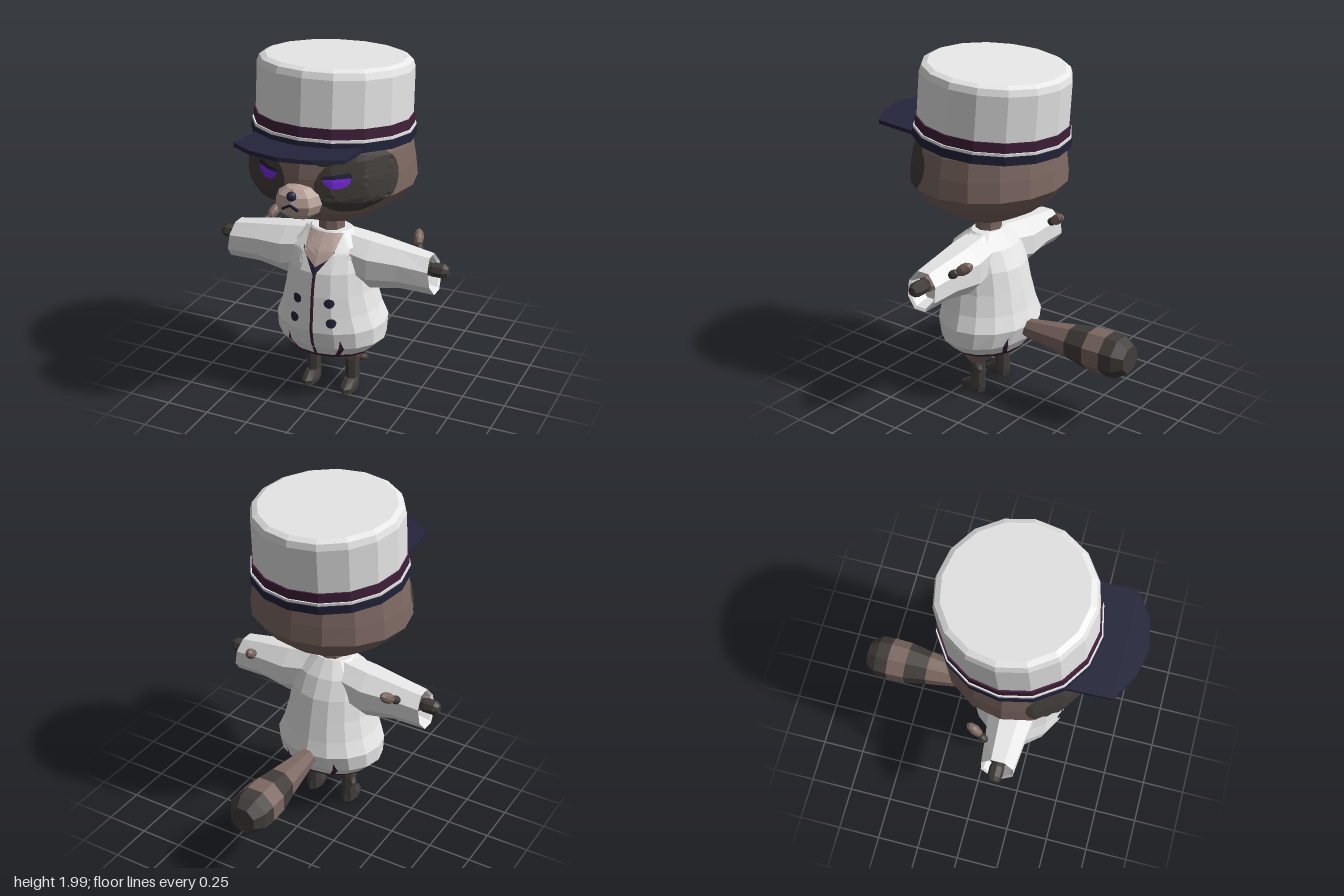
import * as THREE from 'three';

const color = (name, hex) => Object.assign(new THREE.MeshStandardMaterial({ color: hex }), { name });
const M = {
  white: color('cloth white', 0xececec), brown: color('fur brown', 0x7d6862),
  dark: color('fur dark', 0x423d3a), tan: color('fur light', 0xb9a39b),
  navy: color('navy', 0x24243c), maroon: color('maroon', 0x41203a), purple: color('eye purple', 0x7a2be6),
};

const faceted = (g) => {
  const n = g.index ? g.toNonIndexed() : g;
  n.computeVertexNormals();
  return n;
};

function fromTriangles(tris) {
  const g = new THREE.BufferGeometry().setFromPoints(tris);
  g.computeVertexNormals();
  return g;
}

// Skin over closed rings of points, optionally capped
function loft(rings, caps = true) {
  const out = [], n = rings[0].length;
  for (let i = 0; i + 1 < rings.length; i++) for (let j = 0; j < n; j++) {
    const k = (j + 1) % n, a = rings[i][j], b = rings[i][k], c = rings[i + 1][k], d = rings[i + 1][j];
    out.push(a, b, c, a, c, d);
  }
  if (caps) [rings[0], rings.at(-1)].forEach((r, top) => {
    const m = r.reduce((s, p) => s.add(p), new THREE.Vector3()).divideScalar(n);
    for (let j = 0; j < n; j++) {
      const k = (j + 1) % n;
      out.push(m, r[top ? j : k], r[top ? k : j]);
    }
  });
  return fromTriangles(out);
}

const ring = (n, f) => Array.from({ length: n }, (_, j) => f((j / n) * Math.PI * 2));

// Upright stack of elliptical rings: [y, radiusX, centreZ, radiusZ, centreX]
const stack = (rows, n, caps = true) => loft(rows.map(([y, r, cz = 0, rz = r, cx = 0]) =>
  ring(n, (t) => new THREE.Vector3(cx + r * Math.sin(t), y, cz + rz * Math.cos(t)))), caps);

// Patch from a rule f(u, v)
function patch(f, nu = 6, nv = 6) {
  const out = [];
  for (let i = 0; i < nu; i++) for (let j = 0; j < nv; j++) {
    const [a, b, c, d] = [[0, 0], [1, 0], [1, 1], [0, 1]].map(([p, q]) => f((i + p) / nu, (j + q) / nv));
    out.push(a, b, c, a, c, d);
  }
  return fromTriangles(out);
}

// Rounded form from rows [y, halfWidth, frontZ, backZ], with surface lookup for details
function shell(rows, n) {
  const row = (y) => {
    let i = 0;
    while (i < rows.length - 2 && y > rows[i + 1][0]) i++;
    const k = (y - rows[i][0]) / (rows[i + 1][0] - rows[i][0]);
    return rows[i].map((v, q) => v + (rows[i + 1][q] - v) * k);
  };
  const at = (t, y, lift = 0) => {
    const [, w, f, b] = row(y), step = (Math.PI * 2) / n, s = Math.floor(t / step), k = t / step - s;
    const mix = (fn) => fn(s * step) * (1 - k) + fn((s + 1) * step) * k;
    return new THREE.Vector3(w * mix(Math.sin) + lift * Math.sin(t), y,
      (f + b) / 2 + ((f - b) / 2) * mix(Math.cos) + lift * Math.cos(t));
  };
  const front = (x, y, lift) => at(Math.asin(Math.max(-1, Math.min(1, x / row(y)[1]))), y, lift);
  return {
    at, geometry: loft(rows.map(([y]) => ring(n, (t) => at(t + 1e-6, y)))),
    // Quad corners in x,y: bottom inner, bottom outer, top outer, top inner
    quad: ([a, b, c, d], lift, place = front) => patch((u, v) => {
      const m = (q) => (a[q] * (1 - u) + b[q] * u) * (1 - v) + (d[q] * (1 - u) + c[q] * u) * v;
      return place(m(0), m(1), lift);
    }),
    disc: (x, y, rx, ry, lift, top = 1, place = front) => patch((u, v) => {
      const t = -u * Math.PI * 2;
      return place(x + rx * v * Math.cos(t), y + ry * v * Math.min(top, Math.sin(t)), lift);
    }, 24, 6),
  };
}

function mirrored(g) {
  const m = g.clone().scale(-1, 1, 1), p = m.attributes.position;
  for (let i = 0; i < p.count; i += 3) {
    const b = new THREE.Vector3().fromBufferAttribute(p, i + 1), c = new THREE.Vector3().fromBufferAttribute(p, i + 2);
    p.setXYZ(i + 1, c.x, c.y, c.z);
    p.setXYZ(i + 2, b.x, b.y, b.z);
  }
  m.computeVertexNormals();
  return m;
}

export function createModel() {
  const model = new THREE.Group();
  const add = (name, g, mat, parent = model) => {
    const m = new THREE.Mesh(g, mat);
    m.name = name;
    parent.add(m);
    return m;
  };
  const pair = (name, g, mat) => {
    add(name + 'Left', g, mat);
    add(name + 'Right', mirrored(g), mat);
  };
  const blob = (x, y, z, rx, ry, rz, turn = [0, 0, 0]) => {
    const g = faceted(new THREE.SphereGeometry(1, 8, 6)).scale(rx, ry, rz);
    g.rotateX(turn[0]).rotateY(turn[1]).rotateZ(turn[2]).translate(x, y, z);
    return faceted(g);
  };

  // Head
  const head = shell([[1.05, 0.08, 0.21, 0.07], [1.09, 0.18, 0.31, -0.02], [1.15, 0.29, 0.42, -0.14],
    [1.22, 0.385, 0.52, -0.23], [1.31, 0.466, 0.565, -0.3], [1.42, 0.455, 0.56, -0.29],
    [1.53, 0.435, 0.54, -0.275], [1.62, 0.4, 0.5, -0.25]], 16);
  add('head', head.geometry, M.brown);
  const slanted = (t, y, l) => head.at(t + (y - 1.41) * 0.6, y, l);
  pair('faceMask', head.disc(0.73, 1.41, 0.54, 0.17, 0.007, 1, slanted), M.dark);
  pair('eye', head.disc(0.195, 1.43, 0.065, 0.045, 0.013, 0.25), M.purple);
  pair('eyelid', head.quad([[0.115, 1.435], [0.265, 1.442], [0.255, 1.47], [0.13, 1.452]], 0.018), M.navy);
  pair('brow', blob(0.135, 1.528, 0.535, 0.055, 0.025, 0.03, [0, 0.2, 0.12]), M.dark);
  add('muzzle', blob(0, 1.3, 0.56, 0.133, 0.095, 0.105), M.tan);
  add('nose', blob(0, 1.355, 0.645, 0.028, 0.026, 0.025), M.navy);
  pair('mouth', faceted(new THREE.BoxGeometry(0.052, 0.012, 0.012).rotateZ(-0.5).translate(0.022, 1.3, 0.661)), M.navy);
  add('neck', stack([[0.93, 0.08, 0.15], [1.08, 0.075, 0.15]], 8), M.brown);

  // Cap, leaning back
  const cap = new THREE.Group();
  cap.name = 'cap';
  cap.position.set(0, 1.555, 0.12);
  cap.rotation.x = -0.08;
  model.add(cap);
  add('capBand', stack([[-0.01, 0.445], [0.04, 0.448]], 16), M.navy, cap);
  add('capPiping', stack([[0.04, 0.442], [0.055, 0.442]], 16), M.white, cap);
  add('capRibbon', stack([[0.055, 0.434], [0.11, 0.434]], 16), M.maroon, cap);
  add('capCrown', stack([[0.1, 0.425], [0.36, 0.422], [0.395, 0.41], [0.41, 0.38]], 16), M.white, cap);
  const brim = new THREE.Shape([[-0.31, -0.2], [0.31, -0.2], [0.31, -0.56], [0.17, -0.65], [0, -0.685],
    [-0.17, -0.65], [-0.31, -0.56]].map(([x, y]) => new THREE.Vector2(x, y)).reverse());
  const brimGeo = new THREE.ExtrudeGeometry(brim, { depth: 0.022, bevelEnabled: false }).rotateX(-Math.PI / 2);
  add('capBrim', faceted(brimGeo), M.navy, cap).position.y = -0.008;

  // Jacket
  const coat = shell([[0.29, 0.25, 0.36, -0.06], [0.36, 0.32, 0.405, -0.11], [0.46, 0.322, 0.43, -0.145],
    [0.55, 0.285, 0.42, -0.12], [0.67, 0.255, 0.41, -0.095], [0.8, 0.24, 0.385, -0.065],
    [0.91, 0.22, 0.325, -0.01], [1.0, 0.12, 0.235, 0.065]], 16);
  add('jacket', coat.geometry, M.white);
  add('jacketHem', loft([0.285, 0.305].map((y) => ring(16, (t) => coat.at(t + 1e-6, y, 0.007))), false), M.maroon);
  add('jacketSeam', coat.quad([[-0.009, 0.3], [0.009, 0.3], [0.009, 0.83], [-0.009, 0.83]], 0.007), M.maroon);
  pair('undershirt', coat.quad([[0, 0.79], [0.012, 0.8], [0.105, 0.93], [0, 0.86]], 0.007), M.navy);
  pair('chestFur', coat.quad([[0, 0.835], [0.08, 0.89], [0.1, 0.995], [0, 0.995]], 0.009), M.tan);
  pair('lapel', coat.quad([[0.015, 0.81], [0.17, 0.885], [0.14, 0.93], [0.085, 0.915]], 0.018), M.white);
  pair('collar', coat.quad([[0.085, 0.905], [0.17, 0.94], [0.118, 1.0], [0.09, 1.0]], 0.02), M.white);
  for (const [x, y] of [[0.093, 0.645], [0.108, 0.53]]) pair('button', coat.disc(x, y, 0.027, 0.027, 0.012), M.navy);
  const slit = [[0.42, 0.3], [0.53, 0.3], [0.56, 0.36], [0.5, 0.42]];
  pair('frontSlit', coat.quad(slit, 0.007, coat.at), M.maroon);
  pair('backSlit', coat.quad(slit.map(([t, y]) => [Math.PI - t, y]).reverse().map((p, i, a) => a[(i + 2) % 4]),
    0.007, coat.at), M.maroon);

  // Sleeves with hollow cuffs: [x, centreY, halfHeight, halfDepth]
  const sleeve = [[0.08, 0.865, 0.14, 0.13], [0.26, 0.83, 0.153, 0.145], [0.43, 0.832, 0.125, 0.12],
    [0.61, 0.817, 0.115, 0.1], [0.6, 0.817, 0.1, 0.085], [0.53, 0.82, 0.08, 0.07]];
  pair('sleeve', loft(sleeve.map(([x, cy, hy, hz]) => ring(8, (t) => new THREE.Vector3(
    x + (x > 0.55 ? -0.018 * Math.cos(t + Math.PI / 8) : 0), cy + hy * Math.cos(t + Math.PI / 8),
    0.15 + hz * Math.sin(t + Math.PI / 8))))), M.white);

  // Arms and paws
  const limb = (rows, x, y, z) => stack(rows, 8).rotateZ(-Math.PI / 2).translate(x, y, z);
  pair('forearm', limb([[0, 0.05], [0.08, 0.045]], 0.5, 0.845, 0.15), M.brown);
  pair('paw', limb([[0, 0.033], [0.03, 0.042], [0.09, 0.042], [0.115, 0.025]], 0.575, 0.845, 0.15), M.dark);
  pair('thumb', blob(0.45, 0.935, -0.02, 0.03, 0.032, 0.06, [0.6, 0.3, 0]), M.brown);
  pair('thumbTip', blob(0.475, 0.9, 0.035, 0.025, 0.025, 0.035, [0.6, 0.3, 0]), M.dark);

  // Hips, legs and feet
  add('hips', stack([[0.265, 0.15, 0.15], [0.295, 0.24, 0.15, 0.2]], 12), M.brown);
  pair('thigh', stack([[0.19, 0.045, 0.145, 0.045, 0.125], [0.23, 0.07, 0.145, 0.085, 0.125],
    [0.3, 0.095, 0.15, 0.15, 0.135]], 8), M.brown);
  pair('shin', stack([[0.02, 0.044, 0.145, 0.045, 0.122], [0.2, 0.044, 0.145, 0.045, 0.122]], 8), M.dark);
  pair('foot', stack([[0, 0.045, 0.18, 0.085, 0.122], [0.03, 0.047, 0.18, 0.085, 0.122],
    [0.07, 0.042, 0.15, 0.05, 0.122]], 8), M.dark);
  pair('dewclaw', blob(0.175, 0.178, 0.1, 0.022, 0.02, 0.035, [-0.3, -0.5, 0]), M.dark);

  // Striped tail: rows of [distance back, radius]
  const tail = [[[0.09, 0.048], [0.435, 0.1]], [[0.435, 0.1], [0.565, 0.124]], [[0.565, 0.124], [0.675, 0.127]],
    [[0.675, 0.127], [0.75, 0.122], [0.81, 0.08]]];
  tail.forEach((rows, i) => add('tailStripe' + (i + 1),
    stack(rows, 8).rotateY(Math.PI / 8).rotateX(-Math.PI / 2).translate(0, 0.435, 0), i % 2 ? M.dark : M.brown));

  return model;
}
